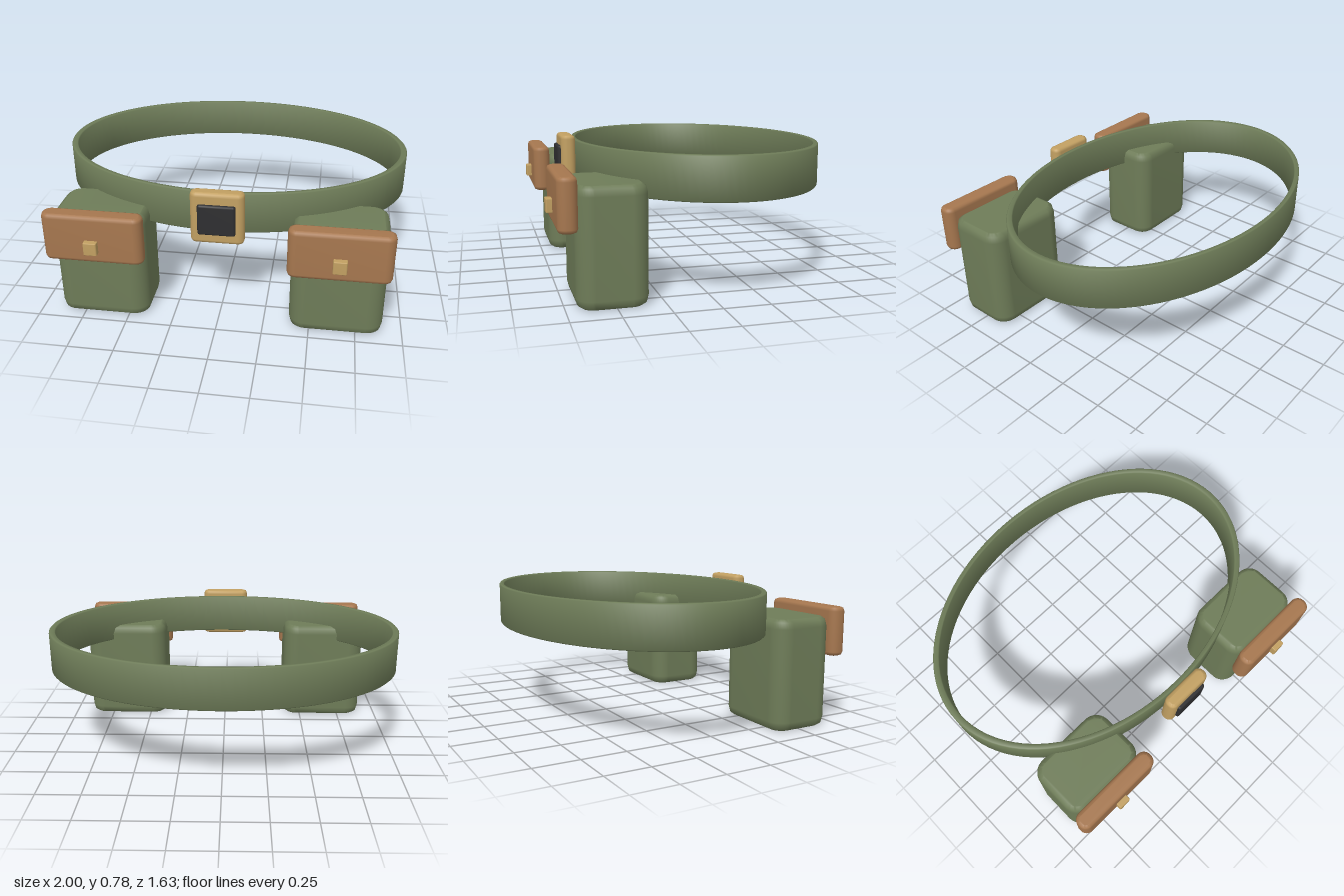
import * as THREE from 'three';
import { mergeVertices, toCreasedNormals } from 'three/addons/utils/BufferGeometryUtils.js';

const material = (name, color) => {
  const m = new THREE.MeshStandardMaterial({ color });
  m.name = name;
  return m;
};

// Block with a rounded plan (radius r) and softened top and bottom rims
function softBlock(w, h, d, r, rimIn, rimHeight) {
  const x = w / 2, y = d / 2;
  const s = new THREE.Shape();
  s.moveTo(-x + r, -y);
  s.lineTo(x - r, -y);
  s.absarc(x - r, -y + r, r, -Math.PI / 2, 0);
  s.lineTo(x, y - r);
  s.absarc(x - r, y - r, r, 0, Math.PI / 2);
  s.lineTo(-x + r, y);
  s.absarc(-x + r, y - r, r, Math.PI / 2, Math.PI);
  s.lineTo(-x, -y + r);
  s.absarc(-x + r, -y + r, r, Math.PI, Math.PI * 1.5);
  const g = new THREE.ExtrudeGeometry(s, {
    depth: h - 2 * rimHeight, curveSegments: 5, bevelEnabled: true,
    bevelSize: rimIn, bevelOffset: -rimIn, bevelThickness: rimHeight, bevelSegments: 2,
  });
  g.rotateX(-Math.PI / 2);
  g.center();
  g.deleteAttribute('uv');
  g.deleteAttribute('normal');
  const smooth = mergeVertices(g, 1e-4);
  smooth.computeVertexNormals();
  return smooth;
}

export function createModel() {
  const canvas = material('olive canvas', 0x6e7c58);
  const leather = material('tan leather', 0xa6774f);
  const brass = material('brass', 0xc2a062);
  const dark = material('dark plate', 0x2f2f31);

  const model = new THREE.Group();
  model.name = 'utilityBelt';
  const add = (parent, name, geometry, mat, x, y, z) => {
    const mesh = new THREE.Mesh(geometry, mat);
    mesh.name = name;
    mesh.position.set(x, y, z);
    parent.add(mesh);
  };

  // Oval belt strap: closed band profile turned round, then flattened in z
  const e = 0.006, inner = 0.962, top = 0.115;
  const profile = [
    [1 - e, -top], [1, -top + e], [1, top - e], [1 - e, top],
    [inner + e, top], [inner, top - e], [inner, -top + e], [inner + e, -top], [1 - e, -top],
  ].map(([x, y]) => new THREE.Vector2(x, y));
  const strap = toCreasedNormals(new THREE.LatheGeometry(profile, 96), 0.9);
  strap.scale(1, 1, 0.7);
  add(model, 'strap', strap, canvas, 0, 0.635, -0.115);

  // Buckle with its dark centre
  add(model, 'buckle', softBlock(0.285, 0.29, 0.08, 0.036, 0.02, 0.02), brass, 0, 0.635, 0.628);
  add(model, 'bucklePlate', softBlock(0.2, 0.17, 0.07, 0.015, 0.01, 0.01), dark, 0, 0.635, 0.652);

  // Matching pouches on both sides
  for (const [side, sx] of [['left', 1], ['right', -1]]) {
    const pouch = new THREE.Group();
    pouch.name = side + 'Pouch';
    pouch.position.x = sx * 0.641;
    add(pouch, 'pouchBody', softBlock(0.506, 0.61, 0.365, 0.09, 0.03, 0.05), canvas, 0, 0.305, 0.514);
    add(pouch, 'pouchFlap', softBlock(0.536, 0.27, 0.1, 0.046, 0.02, 0.022), leather, 0, 0.525, 0.733);
    add(pouch, 'flapStud', softBlock(0.072, 0.072, 0.04, 0.008, 0.004, 0.004), brass, 0, 0.489, 0.795);
    model.add(pouch);
  }
  return model;
}
